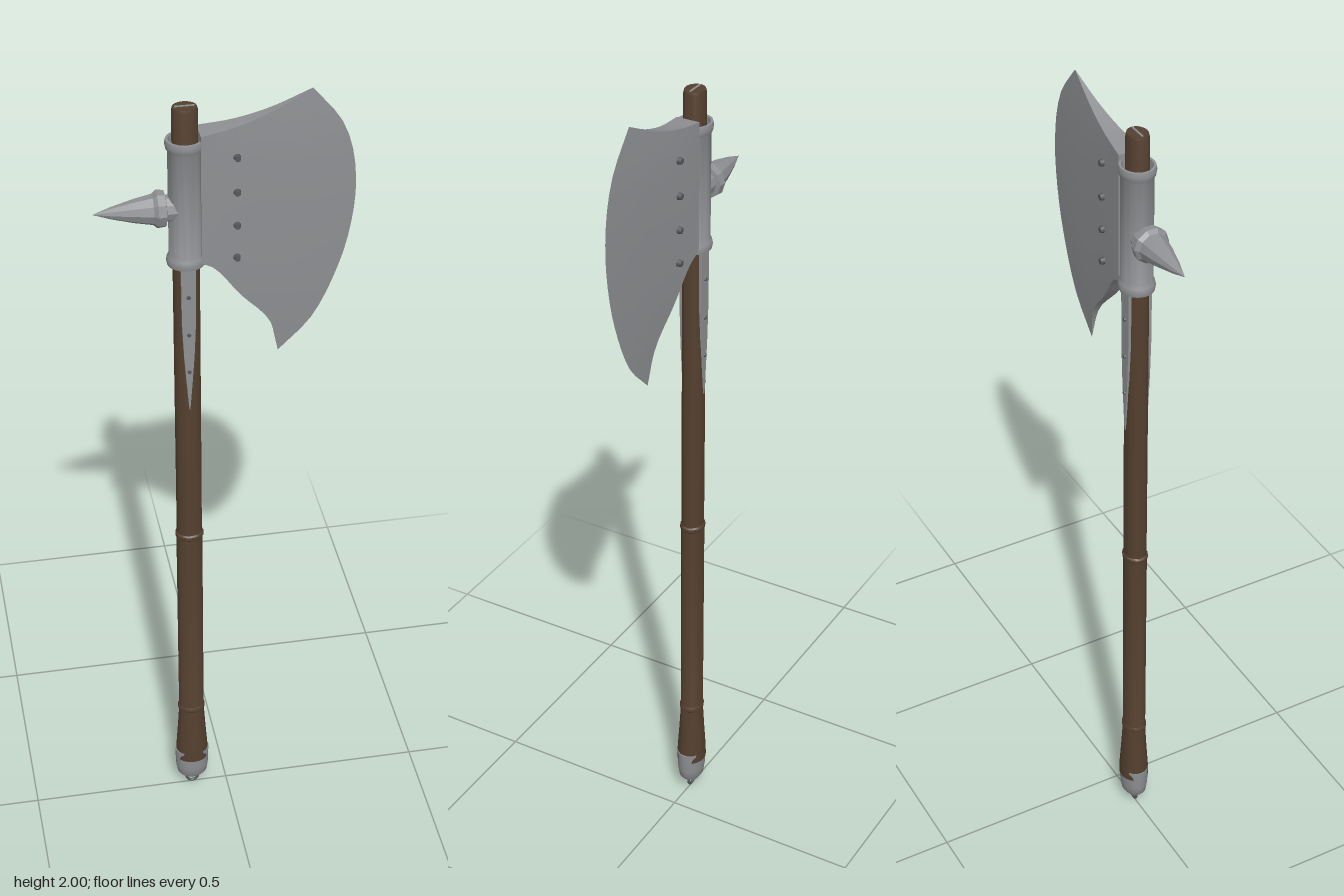
import * as THREE from 'three';
import { toCreasedNormals } from 'three/addons/utils/BufferGeometryUtils.js';

const SHAFT_X = -0.09;

export function createModel() {
  const axe = new THREE.Group();
  axe.name = 'battleAxe';
  const material = (name, color) => Object.assign(new THREE.MeshStandardMaterial({ color }), { name });
  const wood = material('dark wood', 0x54402f);
  const steel = material('steel', 0x8e9093);
  const iron = material('dark iron', 0x55585c);

  const add = (name, geometry, mat, x = 0, y = 0, z = 0) => {
    const mesh = new THREE.Mesh(geometry, mat);
    mesh.name = name;
    mesh.position.set(x, y, z);
    axe.add(mesh);
    return mesh;
  };
  const lathe = (profile, sides, crease = 0.6) => toCreasedNormals(
    new THREE.LatheGeometry(profile.map(([r, y]) => new THREE.Vector2(r, y)), sides), crease);

  // Oval shaft, flared at the butt, with two raised rings on the grip
  add('shaft', lathe([
    [0, 0.1], [0.042, 0.1], [0.041, 0.13], [0.036, 0.2], [0.032, 0.265],
    [0.0345, 0.268], [0.0345, 0.276], [0.032, 0.28], [0.032, 0.825],
    [0.0345, 0.828], [0.0345, 0.836], [0.031, 0.84], [0.031, 1.6], [0.029, 1.975], [0.027, 1.982], [0, 1.982],
  ], 20), wood, SHAFT_X).scale.z = 0.86;
  add('shaftWedge', new THREE.BoxGeometry(0.044, 0.006, 0.004), steel, SHAFT_X, 1.981);

  // Butt cap and hanging ring
  add('buttCap', lathe([
    [0, 0.035], [0.031, 0.037], [0.038, 0.046], [0.042, 0.07], [0.044, 0.125], [0, 0.125],
  ], 20), steel, SHAFT_X).scale.z = 0.78;
  add('buttRing', new THREE.TorusGeometry(0.0145, 0.0035, 8, 20), iron, SHAFT_X, 0.018);

  // Hollow socket with a collar at each end
  add('socket', lathe([
    [0.033, 1.595], [0.043, 1.595], [0.045, 1.605], [0.043, 1.615], [0.039, 1.622],
    [0.039, 1.878], [0.043, 1.885], [0.045, 1.896], [0.043, 1.906],
    [0.037, 1.906], [0.035, 1.89], [0.033, 1.595],
  ], 24), steel, SHAFT_X).scale.z = 0.93;

  // Rear spike with a flanged base
  add('spike', lathe([
    [0.03, -0.04], [0.03, 0], [0.041, 0.002], [0.043, 0.02], [0.035, 0.029],
    [0.027, 0.07], [0.014, 0.12], [0, 0.162],
  ], 10, 0.3).rotateZ(Math.PI / 2), steel, -0.135, 1.738);

  add('blade', bladeGeometry(), steel);

  // Rivets on both cheeks of the blade
  for (const side of [1, -1]) {
    for (const y of [1.86, 1.775, 1.692, 1.61]) {
      const rivet = new THREE.CylinderGeometry(0.007, 0.009, 0.012, 10).rotateX(side * Math.PI / 2);
      add('bladeRivet', rivet, iron, 0.021, y, side * 0.026);
    }
  }

  // Pointed straps running down the front and back of the shaft
  const half = [[0.017, 1.6], [0.016, 1.45], [0.012, 1.36], [0.007, 1.29], [0.001, 1.215]];
  const outline = [...half, ...half.map(([x, y]) => [-x, y]).reverse()];
  const strap = new THREE.Shape(outline.map(([x, y]) => new THREE.Vector2(x, y)));
  for (const side of [1, -1]) {
    const geometry = new THREE.ExtrudeGeometry(strap, { depth: 0.009, bevelEnabled: false });
    if (side < 0) geometry.rotateY(Math.PI);
    add('strap', geometry, steel, SHAFT_X, 0, side * 0.0205);
    for (const y of [1.52, 1.42, 1.32]) {
      const rivet = new THREE.CylinderGeometry(0.004, 0.005, 0.004, 8).rotateX(side * Math.PI / 2);
      add('strapRivet', rivet, iron, SHAFT_X, y, side * 0.031);
    }
  }
  return axe;
}

// Wedge-shaped blade: a patch between four border curves, thinning to the cutting edge
function bladeGeometry() {
  const curve = (points) => new THREE.CatmullRomCurve3(
    points.map(([x, y]) => new THREE.Vector3(x, y, 0)), false, 'centripetal');
  const top = curve([[-0.06, 1.92], [0.02, 1.932], [0.1, 1.957], [0.19, 2.0]]);
  const bottom = curve([[-0.06, 1.605], [-0.03, 1.588], [0.03, 1.508], [0.1, 1.425], [0.122, 1.337]]);
  const edge = curve([[0.122, 1.337], [0.2, 1.42], [0.262, 1.56], [0.287, 1.67],
    [0.293, 1.76], [0.282, 1.85], [0.255, 1.92], [0.19, 2.0]]);
  const root = curve([[-0.06, 1.605], [-0.06, 1.92]]);
  const COLS = 12, ROWS = 20;

  const point = (i, j, side) => {
    const u = i / COLS, v = j / ROWS;
    const p = new THREE.Vector3();
    p.addScaledVector(bottom.getPointAt(u), 1 - v).addScaledVector(top.getPointAt(u), v);
    p.addScaledVector(root.getPointAt(v), 1 - u).addScaledVector(edge.getPointAt(v), u);
    p.addScaledVector(root.getPointAt(0), -(1 - u) * (1 - v)).addScaledVector(root.getPointAt(1), -(1 - u) * v);
    p.addScaledVector(edge.getPointAt(0), -u * (1 - v)).addScaledVector(edge.getPointAt(1), -u * v);
    p.z = side * 0.029 * (1 - u);
    return p;
  };
  const positions = [];
  const quad = (a, b, c, d) => {
    for (const p of [a, b, c, a, c, d]) positions.push(p.x, p.y, p.z);
  };
  for (let i = 0; i < COLS; i++) {
    for (let j = 0; j < ROWS; j++) {
      quad(point(i, j, 1), point(i + 1, j, 1), point(i + 1, j + 1, 1), point(i, j + 1, 1));
      quad(point(i + 1, j, -1), point(i, j, -1), point(i, j + 1, -1), point(i + 1, j + 1, -1));
    }
    quad(point(i, ROWS, 1), point(i + 1, ROWS, 1), point(i + 1, ROWS, -1), point(i, ROWS, -1));
    quad(point(i, 0, -1), point(i + 1, 0, -1), point(i + 1, 0, 1), point(i, 0, 1));
  }
  // Flat face against the socket
  for (let j = 0; j < ROWS; j++) {
    quad(point(0, j, -1), point(0, j, 1), point(0, j + 1, 1), point(0, j + 1, -1));
  }
  const geometry = new THREE.BufferGeometry();
  geometry.setAttribute('position', new THREE.Float32BufferAttribute(positions, 3));
  return toCreasedNormals(geometry, 0.5);
}
